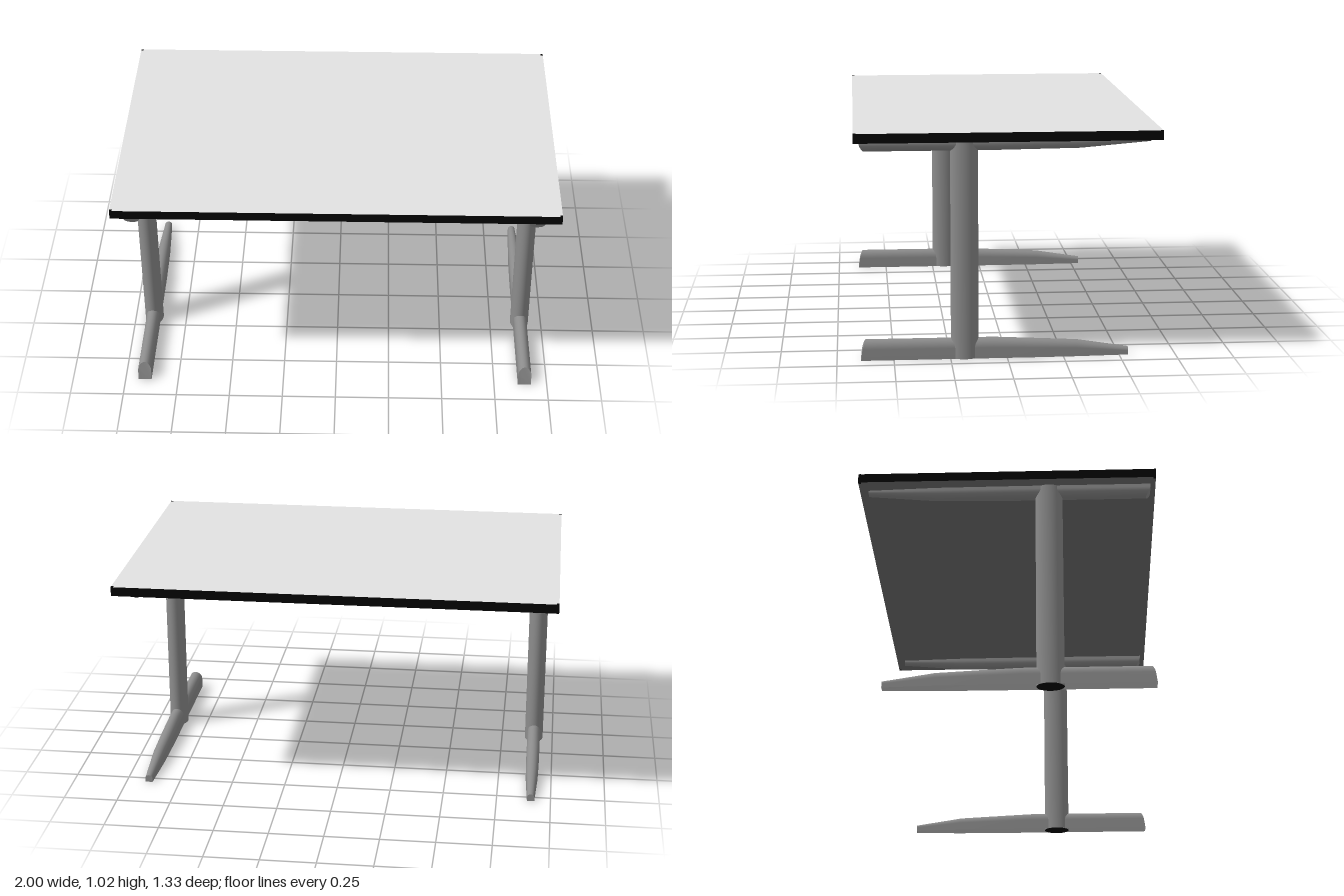
import * as THREE from 'three';

const mat = (name, color, side = THREE.FrontSide) =>
  Object.assign(new THREE.MeshStandardMaterial({ color, side }), { name });

// D-shaped open shell lofted along z; sections are [z, halfWidth, height].
// dir = 1 arches upward, dir = -1 hangs downward. The first end is bowed.
function archShell(sections, dir, straight, bow) {
  const pos = [], index = [], arc = 14;
  const ring = sections.map(([z, w, h], s) => {
    const pts = [[w, 0]];
    for (let i = 0; i <= arc; i++) {
      const a = (Math.PI * i) / arc;
      pts.push([w * Math.cos(a), h * (straight + (1 - straight) * Math.sin(a))]);
    }
    pts.push([-w, 0]);
    return pts.map(([x, y]) => [dir * x, dir * y, s === 0 ? z - bow * (y / h) ** 2 : z]);
  });
  const n = ring[0].length;
  ring.forEach((r) => r.forEach((p) => pos.push(...p)));
  for (let s = 0; s < ring.length - 1; s++) {
    for (let i = 0; i < n - 1; i++) {
      const a = s * n + i, b = a + 1, c = a + n, d = b + n;
      index.push(a, c, b, b, c, d);
    }
  }
  // End caps with their own vertices keep the rim sharp
  [0, ring.length - 1].forEach((s) => {
    const start = pos.length / 3;
    ring[s].forEach((p) => pos.push(...p));
    for (let i = 1; i < n - 1; i++) {
      if (s === 0) index.push(start, start + i, start + i + 1);
      else index.push(start, start + i + 1, start + i);
    }
  });
  const g = new THREE.BufferGeometry();
  g.setAttribute('position', new THREE.Float32BufferAttribute(pos, 3));
  g.setIndex(index);
  g.computeVertexNormals();
  return g;
}

export function createModel() {
  const surface = mat('light grey surface', 0xe3e3e3);
  const underside = mat('grey underside', 0x737373);
  const black = mat('black edging', 0x040404);
  const metal = mat('grey metal', 0x8c8c8c, THREE.DoubleSide);

  const model = new THREE.Group();
  model.name = 'table';
  const add = (parent, name, geometry, material, x, y, z) => {
    const m = new THREE.Mesh(geometry, material);
    m.name = name;
    m.position.set(x, y, z);
    parent.add(m);
  };

  // Tabletop: light face, black edges, grey underside
  add(model, 'tabletop', new THREE.BoxGeometry(2, 0.042, 1.334),
    [black, black, surface, underside, black, black], 0, 0.999, 0);

  // Small black corners where the edging meets
  const corner = new THREE.BoxGeometry(0.012, 0.043, 0.012);
  for (const sx of [-1, 1]) {
    for (const sz of [-1, 1]) add(model, 'edgeCorner', corner, black, sx * 0.994, 0.999, sz * 0.661);
  }

  // Shared leg geometry
  const foot = archShell([
    [0.645, 0.031, 0.089], [0.06, 0.031, 0.089], [-0.1, 0.031, 0.081],
    [-0.31, 0.028, 0.07], [-0.54, 0.017, 0.034],
  ], 1, 0.55, 0.022);
  const bar = archShell([
    [0.645, 0.035, 0.052], [0.06, 0.035, 0.052], [-0.32, 0.032, 0.047], [-0.627, 0.017, 0.021],
  ], -1, 0.3, 0.022);
  const column = new THREE.CylinderGeometry(1, 1, 0.978, 40, 1, true).scale(0.044, 1, 0.061);
  const base = new THREE.CircleGeometry(1, 40).rotateX(Math.PI / 2).scale(0.044, 1, 0.061);

  // Two legs, each a foot, an oval column and a support bar
  [['leftLeg', 0.894], ['rightLeg', -0.908]].forEach(([name, x]) => {
    const leg = new THREE.Group();
    leg.name = name;
    leg.position.x = x;
    add(leg, 'foot', foot, metal, 0, 0, 0);
    add(leg, 'supportBar', bar, metal, 0, 0.979, 0);
    add(leg, 'column', column, metal, 0, 0.49, 0.187);
    add(leg, 'columnBase', base, black, 0, 0, 0.187);
    model.add(leg);
  });
  return model;
}
